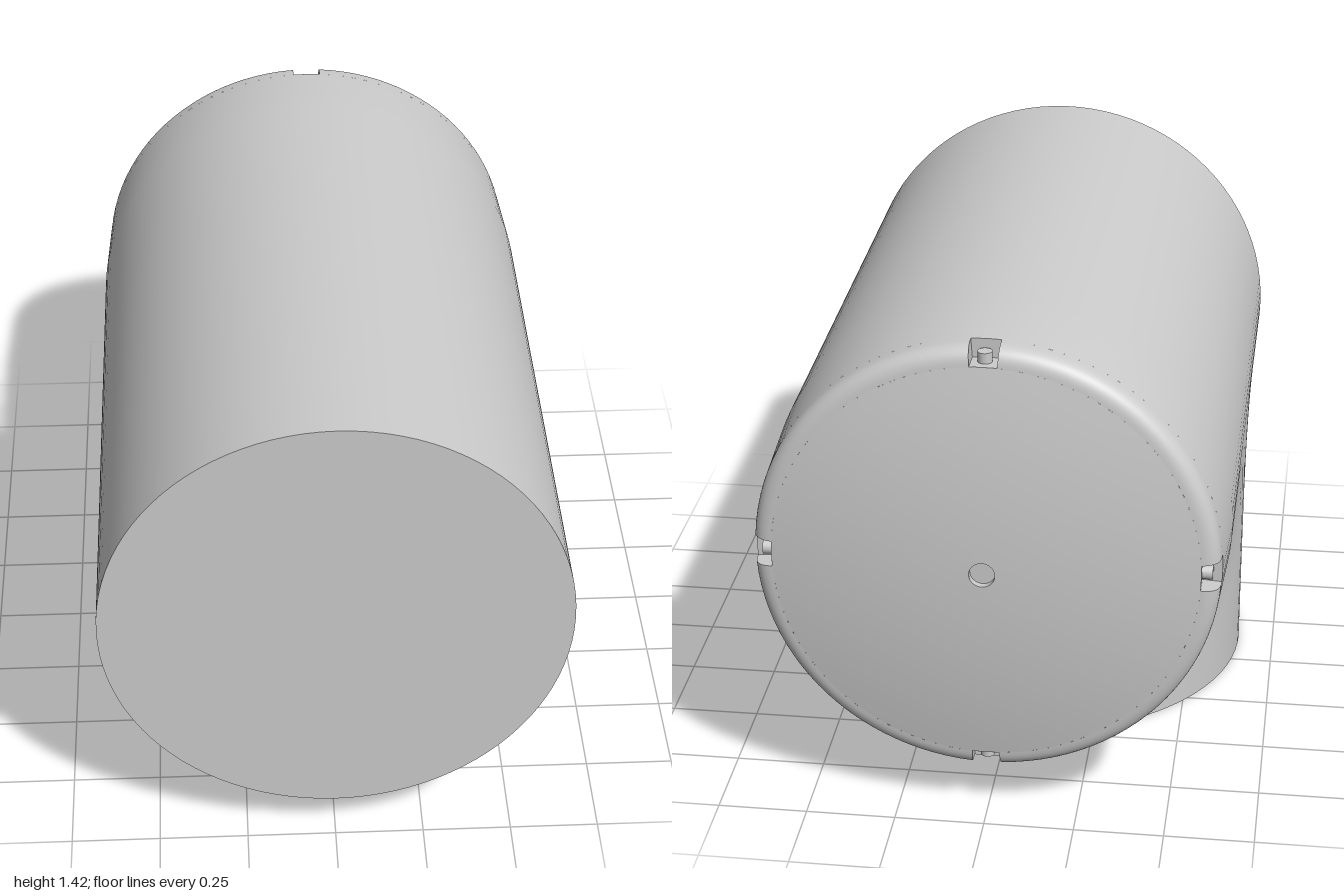
import * as THREE from 'three';
import { mergeVertices } from 'three/addons/utils/BufferGeometryUtils.js';

const R = 0.645;          // radius of both pipes
const AXIS_Y = 0.78;      // height of the main pipe's axis
const BRANCH_Z = 0.14;    // branch axis position
const mat = new THREE.MeshStandardMaterial({ color: 0xcccccc });
const thin = new THREE.MeshStandardMaterial({ color: 0xcccccc, side: THREE.DoubleSide });

function add(parent, name, geometry, material = mat) {
  const mesh = new THREE.Mesh(geometry, material);
  mesh.name = name;
  parent.add(mesh);
  return mesh;
}
const v2 = (list) => list.map(([x, y]) => new THREE.Vector2(x, y));

// Branch wall and its fillet into the main pipe: the same rule in four mirrored quadrants
function branchGeometry() {
  const rows = 24, curveSteps = 16, cols = curveSteps + 2;
  const pos = [], idx = [];
  for (const sx of [1, -1]) for (const sz of [1, -1]) {
    const base = pos.length / 3;
    // row -1 lies on the mid plane and fills the flat tangent patch at the side
    for (let i = -1; i <= rows; i++) {
      const t = Math.max(i, 0) / rows * Math.PI / 2;
      const x = R * Math.cos(t), c = R * Math.sin(t);
      const setback = 0.055 + 0.3 * Math.cos(t);
      for (let j = 0; j < cols; j++) {
        let y = -AXIS_Y, z = c;
        if (j > 0) {
          const u = (j - 1) / curveSteps;
          y = -c - setback * (1 - u) ** 2;
          z = c + setback * u * u;
        }
        pos.push(sx * x, AXIS_Y + y, BRANCH_Z + sz * (i < 0 ? 0 : z));
      }
    }
    for (let i = 0; i <= rows; i++) for (let j = 0; j < cols - 1; j++) {
      const a = base + i * cols + j, b = a + 1, c = a + cols, d = c + 1;
      if (sx * sz > 0) idx.push(a, b, c, b, d, c);
      else idx.push(a, c, b, b, c, d);
    }
  }
  const g = new THREE.BufferGeometry();
  g.setAttribute('position', new THREE.Float32BufferAttribute(pos, 3));
  g.setIndex(idx);
  const merged = mergeVertices(g, 1e-4);
  merged.computeVertexNormals();
  return merged;
}

export function createModel() {
  const model = new THREE.Group();
  model.name = 'pipeTee';

  // Main pipe, turned about its own y axis and laid down so that +y points to the back
  const main = new THREE.Group();
  main.name = 'mainPipe';
  main.rotation.x = -Math.PI / 2;
  main.position.y = AXIS_Y;
  model.add(main);

  add(main, 'pipeWall', new THREE.LatheGeometry(v2([[R, -1], [R, 0.63], [0.633, 0.88]]), 96));
  const front = add(main, 'frontFace', new THREE.CircleGeometry(R, 96));
  front.rotation.x = Math.PI / 2;
  front.position.y = -1;

  // Domed back with a small centre recess
  const edge = 0.58, edgeY = 0.947, hole = 0.035;
  const dome = [];
  for (let i = 0; i <= 12; i++) {
    const r = edge + (hole - edge) * i / 12;
    dome.push([r, 1 - (1 - edgeY) * (r / edge) ** 2]);
  }
  add(main, 'backDome', new THREE.LatheGeometry(v2(dome), 96));
  add(main, 'centreRecessWall', new THREE.LatheGeometry(v2([[hole, 1], [hole, 0.98]]), 32));
  const recess = add(main, 'centreRecessFloor', new THREE.CircleGeometry(hole, 32));
  recess.rotation.x = -Math.PI / 2;
  recess.position.y = 0.98;

  // Rounded rim in four arcs, with a notch between each pair
  const half = 0.064, notchY = 0.88;
  const round = new THREE.QuadraticBezierCurve(...v2([[0.632, 0.9], [0.629, 0.944], [edge, edgeY]]));
  const rim = [new THREE.Vector2(0.633, notchY), ...round.getPoints(10)];
  const wallShape = new THREE.Shape([...rim, new THREE.Vector2(edge, notchY)]);
  for (let k = 0; k < 4; k++) {
    const phi = k * Math.PI / 2;
    add(main, 'rim', new THREE.LatheGeometry(rim, 24, phi + half, Math.PI / 2 - 2 * half));
    const notch = new THREE.Group();
    notch.name = 'notch';
    notch.rotation.y = phi;
    main.add(notch);
    add(notch, 'notchFloor', new THREE.LatheGeometry(
      v2([[edge, notchY], [edge, edgeY]]), 4, -half, 2 * half), thin);
    add(notch, 'notchEnd', new THREE.LatheGeometry(
      v2([[edge, notchY], [0.633, notchY]]), 4, -half, 2 * half), thin);
    for (const s of [-1, 1]) {
      add(notch, 'notchSide', new THREE.ShapeGeometry(wallShape), thin)
        .rotation.y = s * half - Math.PI / 2;
    }
    // short stud standing in the notch
    const stud = add(notch, 'notchStud', new THREE.CylinderGeometry(0.02, 0.02, 0.03, 20));
    stud.rotation.x = Math.PI / 2;
    stud.position.set(0, 0.905, edge + 0.014);
  }

  // Downward branch with its flat bottom
  add(model, 'branch', branchGeometry());
  const bottom = add(model, 'branchBottom', new THREE.CircleGeometry(R, 96));
  bottom.rotation.x = Math.PI / 2;
  bottom.position.z = BRANCH_Z;

  return model;
}
